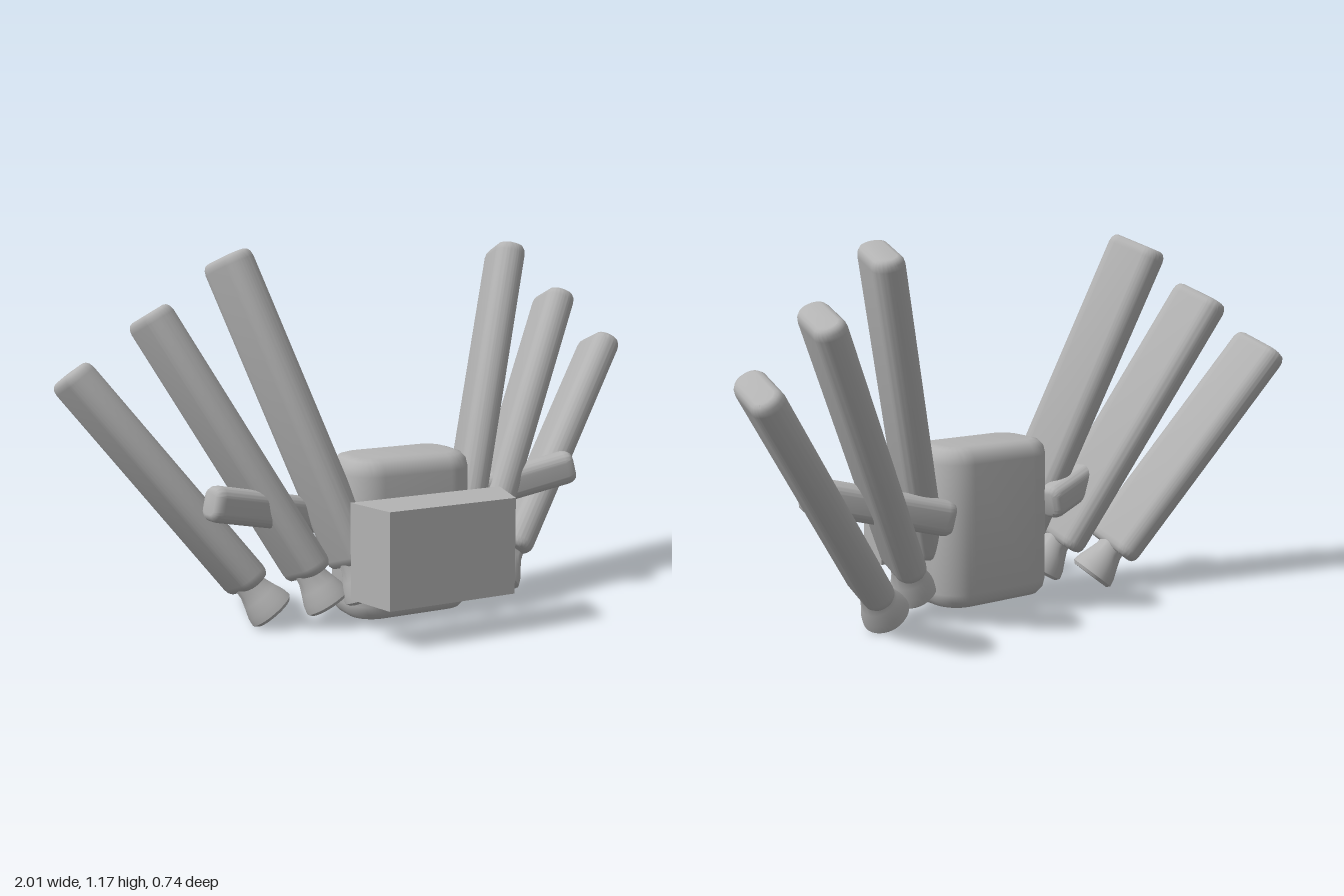
import * as THREE from 'three';
import { toCreasedNormals } from 'three/addons/utils/BufferGeometryUtils.js';

const V = (x, y, z) => new THREE.Vector3(x, y, z);

// Rounded rectangle of half-size hx, hy and corner radius r
function roundedRect(hx, hy, r) {
  const s = new THREE.Shape();
  s.absarc(hx - r, hy - r, r, 0, Math.PI / 2);
  s.absarc(-hx + r, hy - r, r, Math.PI / 2, Math.PI);
  s.absarc(-hx + r, -hy + r, r, Math.PI, Math.PI * 1.5);
  s.absarc(hx - r, -hy + r, r, Math.PI * 1.5, Math.PI * 2);
  s.closePath();
  return s;
}

// Softly bevelled bar from one point to another; "wide" sets the direction of its hx side
function softBar(from, to, wide, hx, hy, r, bevel, cap) {
  const axis = to.clone().sub(from);
  const length = axis.length();
  axis.normalize();
  const w = wide.clone().addScaledVector(axis, -wide.dot(axis)).normalize();
  const n = axis.clone().cross(w);
  const geo = new THREE.ExtrudeGeometry(roundedRect(hx - bevel, hy - bevel, r - bevel), {
    depth: length - 2 * cap, bevelEnabled: true, bevelSize: bevel, bevelThickness: cap,
    bevelSegments: 3, curveSegments: 8,
  });
  geo.translate(0, 0, cap);
  geo.applyMatrix4(new THREE.Matrix4().makeBasis(w, n, axis).setPosition(from));
  return toCreasedNormals(geo, 0.65);
}

export function createModel() {
  const group = new THREE.Group();
  const grey = new THREE.MeshStandardMaterial({ color: 0xb3b3b3 });
  grey.name = 'grey';
  const add = (name, geo) => {
    const mesh = new THREE.Mesh(geo, grey);
    mesh.name = name;
    group.add(mesh);
    return mesh;
  };

  // Cushion-shaped main pack
  add('pack', softBar(V(0, 0.035, 0.02), V(0, 0.545, 0.02), V(1, 0, 0), 0.215, 0.13, 0.1, 0.045, 0.05));

  // Chest block, wider at the back
  const block = new THREE.BoxGeometry(0.43, 0.3, 0.17);
  const pos = block.attributes.position;
  for (let i = 0; i < pos.count; i++) {
    if (pos.getZ(i) < 0) pos.setX(i, pos.getX(i) * 1.21);
  }
  block.computeVertexNormals();
  add('chestBlock', block).position.set(0, 0.29, 0.285);

  // Wing blades: bottom, top and direction of the broad side
  const blades = [
    ['inner', [0.185, 0.215, 0.07], [0.5, 1.16, -0.17], [0.2, -0.33, -1]],
    ['middle', [0.305, 0.18, 0], [0.735, 0.99, -0.225], [0.12, -0.35, -1]],
    ['outer', [0.475, 0.145, -0.08], [0.968, 0.815, -0.28], [0.08, -0.37, -1]],
  ];

  // Flared thruster, its mouth at the origin
  const bell = [[0, 0], [0.066, 0], [0.075, 0.01], [0.071, 0.035], [0.058, 0.07], [0.048, 0.1], [0.044, 0.14], [0, 0.14]];
  const thruster = toCreasedNormals(
    new THREE.LatheGeometry(bell.map(([x, y]) => new THREE.Vector2(x, y)), 32), 0.75);

  for (const s of [1, -1]) {
    const side = s > 0 ? 'Left' : 'Right';
    const at = ([x, y, z]) => V(x * s, y, z);

    for (const [name, bottom, top, wide] of blades) {
      const b = at(bottom), t = at(top);
      add(name + 'Blade' + side, softBar(b, t, at(wide), 0.1, 0.05, 0.048, 0.02, 0.03));
      const axis = t.clone().sub(b).normalize();
      const mesh = add(name + 'Thruster' + side, thruster);
      mesh.position.copy(b).addScaledVector(axis, -0.115);
      mesh.quaternion.setFromUnitVectors(V(0, 1, 0), axis);
    }

    // Side arm sweeping forward and up
    add('arm' + side, softBar(at([0.19, 0.33, -0.09]), at([0.645, 0.445, 0.035]), V(0, 1, 0), 0.055, 0.043, 0.035, 0.02, 0.03));
  }
  return group;
}
